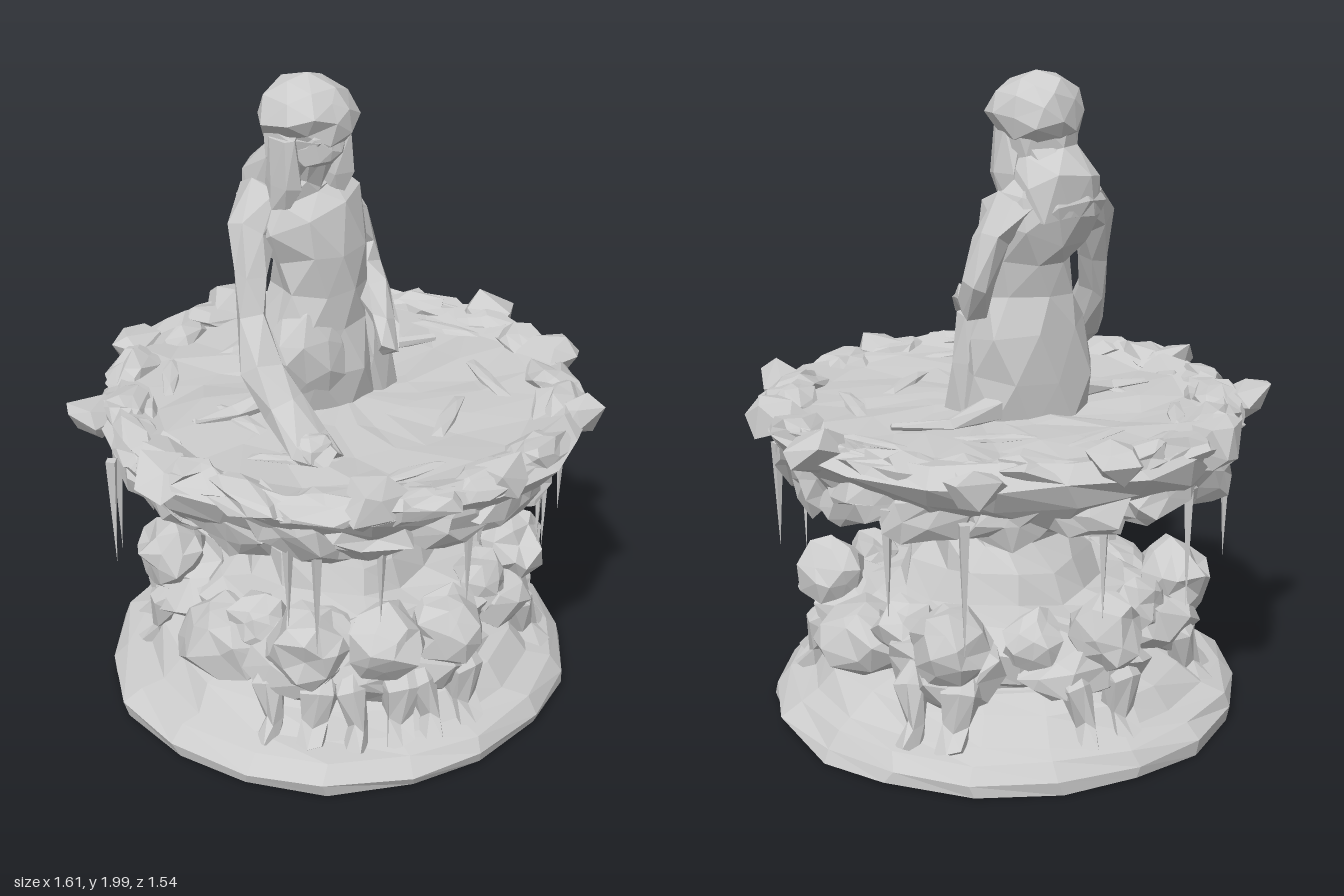
import * as THREE from 'three';

const stone = new THREE.MeshStandardMaterial({ color: 0xcccccc, flatShading: true, side: THREE.DoubleSide });

// Repeatable noise in -1..1 from a position, so shared corners stay joined
function noise(x, y, z, k) {
  const r = (v) => Math.round(v * 1000) + 0;
  const s = Math.sin(r(x) * 0.1271 + r(y) * 0.3117 + r(z) * 0.0747 + k * 17.3) * 43758.5453;
  return (s - Math.floor(s)) * 2 - 1;
}

// Chips a geometry into rough facets
function roughen(geo, amount, yAmount = amount, seed = 0) {
  const p = geo.attributes.position;
  for (let i = 0; i < p.count; i++) {
    const x = p.getX(i), y = p.getY(i), z = p.getZ(i);
    p.setXYZ(i,
      x + noise(x, y, z, seed + 1) * amount,
      y + noise(x, y, z, seed + 2) * yAmount,
      z + noise(x, y, z, seed + 3) * amount);
  }
  geo.computeVertexNormals();
  return geo;
}

function add(parent, name, geo) {
  const mesh = new THREE.Mesh(geo, stone);
  mesh.name = name;
  parent.add(mesh);
  return mesh;
}

function turned(profile, sides, amount, yAmount) {
  const pts = profile.map(([r, y]) => new THREE.Vector2(r, y));
  return roughen(new THREE.LatheGeometry(pts, sides), amount, yAmount);
}

function rock(sx, sy, sz, seed, detail = 1, amount = 0.14) {
  const g = new THREE.IcosahedronGeometry(1, detail);
  roughen(g, amount, amount, seed);
  return g.scale(sx, sy, sz);
}

// Skins oval rings [x, y, z, radiusAcross, radiusDeep] set square to the path
function loft(rings, sides, amount = 0.012) {
  const centres = rings.map(([x, y, z]) => new THREE.Vector3(x, y, z));
  const up = new THREE.Vector3(0, 1, 0), q = new THREE.Quaternion(), pos = [], idx = [];
  rings.forEach((ring, i) => {
    const a = centres[Math.max(0, i - 1)], b = centres[Math.min(rings.length - 1, i + 1)];
    q.setFromUnitVectors(up, b.clone().sub(a).normalize());
    for (let j = 0; j < sides; j++) {
      const t = ((j + (i % 2) * 0.5) / sides) * Math.PI * 2;
      const v = new THREE.Vector3(Math.sin(t) * ring[3], 0, Math.cos(t) * ring[4]);
      v.applyQuaternion(q).add(centres[i]);
      pos.push(v.x, v.y, v.z);
      if (i === rings.length - 1) continue;
      const k = i * sides + j, n = i * sides + ((j + 1) % sides);
      if (i % 2) idx.push(k, n, n + sides, k, n + sides, k + sides);
      else idx.push(k, n, k + sides, n, n + sides, k + sides);
    }
  });
  // End caps
  const last = (rings.length - 1) * sides;
  for (let j = 1; j < sides - 1; j++) idx.push(0, j + 1, j, last, last + j, last + j + 1);
  const geo = new THREE.BufferGeometry();
  geo.setAttribute('position', new THREE.Float32BufferAttribute(pos, 3));
  geo.setIndex(idx);
  return roughen(geo, amount);
}

// Stout crouching figure facing +z at the foot of the pedestal
function crouchingFigure(seed) {
  const g = new THREE.Group();
  g.name = 'crouchingFigure';
  add(g, 'body', rock(0.19, 0.12, 0.14, seed, 1, 0.2)).position.set(0, 0.31, 0.46);
  add(g, 'head', rock(0.12, 0.12, 0.11, seed + 5, 1, 0.2)).position.set(0.03, 0.41, 0.53);
  add(g, 'shoulder', rock(0.1, 0.09, 0.08, seed + 2, 1, 0.2)).position.set(-0.14, 0.39, 0.43);
  for (const s of [-1, 1]) {
    add(g, 'leg', loft([
      [s * 0.07, 0.1, 0.6, 0.05, 0.06], [s * 0.06, 0.17, 0.58, 0.04, 0.04],
      [s * 0.08, 0.27, 0.57, 0.06, 0.055], [s * 0.05, 0.34, 0.47, 0.07, 0.06]], 6, 0.016));
  }
  return g;
}

function seatedFigure() {
  const g = new THREE.Group();
  g.name = 'seatedFigure';
  // Draped hips, narrow waist and shoulders
  add(g, 'torso', loft([
    [-0.05, 0.95, -0.06, 0.2, 0.14], [-0.06, 1.1, -0.06, 0.21, 0.15],
    [-0.06, 1.24, -0.06, 0.19, 0.14], [-0.05, 1.35, -0.05, 0.145, 0.12],
    [-0.05, 1.46, -0.06, 0.15, 0.13], [-0.07, 1.56, -0.09, 0.18, 0.14],
    [-0.09, 1.64, -0.13, 0.16, 0.13], [-0.09, 1.72, -0.1, 0.1, 0.1],
    [-0.08, 1.82, -0.04, 0.08, 0.08]], 9, 0.018));
  add(g, 'foldedLeg', rock(0.15, 0.19, 0.1, 4)).position.set(-0.12, 1.14, -0.01);
  add(g, 'skirtFold', loft([
    [0.11, 0.96, 0.02, 0.06, 0.06], [0.1, 1.12, 0.02, 0.055, 0.06],
    [0.08, 1.28, 0.01, 0.06, 0.06]], 6));
  add(g, 'head', rock(0.138, 0.115, 0.14, 1, 1, 0.12)).position.set(-0.08, 1.88, -0.06);
  add(g, 'face', rock(0.085, 0.08, 0.075, 2)).position.set(-0.09, 1.81, -0.01);
  // Hair sweeps in at the nape and spreads over the shoulders
  add(g, 'hair', loft([
    [-0.09, 1.58, -0.19, 0.13, 0.05], [-0.09, 1.67, -0.17, 0.14, 0.09],
    [-0.09, 1.75, -0.09, 0.125, 0.09], [-0.08, 1.85, -0.06, 0.13, 0.12]], 8, 0.014));
  for (const x of [-0.18, 0]) add(g, 'hairLock', loft([
    [x, 1.61, -0.08, 0.035, 0.06], [x, 1.7, -0.05, 0.045, 0.07],
    [x, 1.84, -0.04, 0.03, 0.06]], 6));
  // Right arm leans on the basin, left arm bends across the lap
  add(g, 'rightArm', loft([
    [-0.28, 0.98, 0.33, 0.05, 0.04], [-0.33, 1.03, 0.26, 0.06, 0.05],
    [-0.33, 1.1, 0.16, 0.05, 0.055], [-0.34, 1.18, 0.06, 0.055, 0.06],
    [-0.32, 1.31, -0.02, 0.045, 0.05], [-0.3, 1.43, -0.06, 0.05, 0.055],
    [-0.26, 1.55, -0.1, 0.06, 0.07], [-0.18, 1.64, -0.13, 0.065, 0.075]], 6, 0.016));
  add(g, 'rightHand', rock(0.07, 0.05, 0.06, 6, 1, 0.2)).position.set(-0.32, 1.02, 0.27);
  add(g, 'leftArm', loft([
    [-0.02, 1.23, 0.25, 0.02, 0.02], [0.01, 1.29, 0.19, 0.04, 0.025],
    [0.08, 1.31, 0.06, 0.04, 0.04], [0.15, 1.33, -0.07, 0.05, 0.05],
    [0.16, 1.41, -0.12, 0.045, 0.05], [0.11, 1.53, -0.12, 0.055, 0.065],
    [0.03, 1.63, -0.13, 0.06, 0.07]], 6, 0.014));
  // Trailing ends of the drapery lying on the water
  add(g, 'drapery', loft([
    [0.43, 1.0, -0.08, 0.01, 0.01], [0.27, 0.995, -0.14, 0.02, 0.02],
    [0.1, 1.01, -0.12, 0.04, 0.05]], 5, 0.006));
  add(g, 'drapery', loft([
    [-0.48, 1.0, -0.09, 0.01, 0.01], [-0.36, 0.995, -0.06, 0.02, 0.03],
    [-0.2, 1.01, -0.06, 0.04, 0.04]], 5, 0.006));
  return g;
}

export function createModel() {
  const fountain = new THREE.Group();
  fountain.name = 'fountain';

  add(fountain, 'base', turned([[0, 0.015], [0.725, 0.02], [0.735, 0.06], [0.69, 0.105],
    [0.62, 0.125], [0.56, 0.19], [0.47, 0.225], [0, 0.23]], 18, 0.016, 0.006)).position.x = -0.015;
  add(fountain, 'pedestal', turned([[0.5, 0.17], [0.44, 0.23], [0.48, 0.27], [0.49, 0.36],
    [0.42, 0.41], [0.31, 0.43], [0.27, 0.52], [0.22, 0.6], [0.21, 0.65], [0.27, 0.72]], 14, 0.022, 0.014));
  add(fountain, 'basin', turned([[0, 0.7], [0.25, 0.7], [0.49, 0.745], [0.62, 0.8],
    [0.7, 0.89], [0.735, 0.965], [0.68, 1.015], [0.59, 0.985], [0.42, 0.985], [0.22, 0.985],
    [0, 0.985]], 22, 0.026, 0.012));

  // Crouching figures ring the pedestal, with low boulders at either side
  [-5, 52, 128, 178, 232, 308, 333].forEach((deg, i) => {
    const f = crouchingFigure(i * 7);
    f.rotation.y = THREE.MathUtils.degToRad(deg);
    fountain.add(f);
  });
  for (const s of [-1, 1]) {
    const m = add(fountain, 'boulder', rock(0.15, 0.12, 0.18, s + 3, 1, 0.2));
    m.position.set(s * 0.46, 0.3, 0.03);
  }

  // Large jagged stones standing out from the rim
  const stones = [[-0.33, -0.63], [0.06, -0.69], [0.45, -0.58], [0.7, -0.13], [0.66, 0.22],
    [0.47, 0.55], [0.05, 0.68], [-0.36, 0.59], [-0.7, 0.1], [-0.68, -0.33]];
  stones.forEach(([x, z], i) => {
    const m = add(fountain, 'rimStone', rock(0.095, 0.065, 0.085, i * 3, 0, 0.32));
    m.position.set(x, 0.985 + 0.015 * Math.sin(i * 2), z);
    m.rotation.set(0.3 * Math.sin(i), Math.atan2(x, z) + i, 0.3 * Math.cos(i));
  });

  // Slabs along the rim, with broad lumps bulging out below it
  for (let i = 0; i < 36; i++) {
    const t = (i / 36) * Math.PI * 2, low = i % 2;
    const r = low ? 0.62 : 0.665 + 0.015 * Math.sin(i * 3);
    const m = add(fountain, 'rimRubble', rock(low ? 0.16 : 0.15, low ? 0.1 : 0.045, 0.075, i, 1, 0.26));
    m.position.set(Math.sin(t) * r, low ? 0.87 : 0.98, Math.cos(t) * r);
    m.rotation.set(low ? 0.6 : 0, t, 0.2 * Math.sin(i * 5));
  }

  // Thin drips of water hanging from the basin
  const drips = [[-0.68, -0.25], [-0.45, 0.47], [-0.28, 0.55], [-0.25, -0.62], [0.03, 0.57],
    [0.37, 0.5], [0.47, 0.42], [0.59, 0.36], [0.59, -0.33], [0.47, -0.55], [-0.5, 0.4],
    [0.05, -0.62], [-0.6, -0.35]];
  drips.forEach(([x, z], i) => {
    const h = 0.36 + 0.05 * Math.sin(i * 2.3);
    const m = add(fountain, 'waterDrip', new THREE.ConeGeometry(0.02, h, 4));
    m.rotation.set(Math.PI, i, 0);
    m.position.set(x, 0.86 - h / 2, z);
  });

  // Low ripples on the water
  for (let i = 0; i < 9; i++) {
    const a = i * 0.7 + 0.4, r = 0.36 + 0.09 * (i % 3);
    const m = add(fountain, 'ripple', rock(0.15, 0.012, 0.03, i, 0));
    m.position.set(Math.sin(a) * r, 0.988, Math.cos(a) * r);
    m.rotation.y = a + 0.2;
  }

  fountain.add(seatedFigure());
  return fountain;
}
